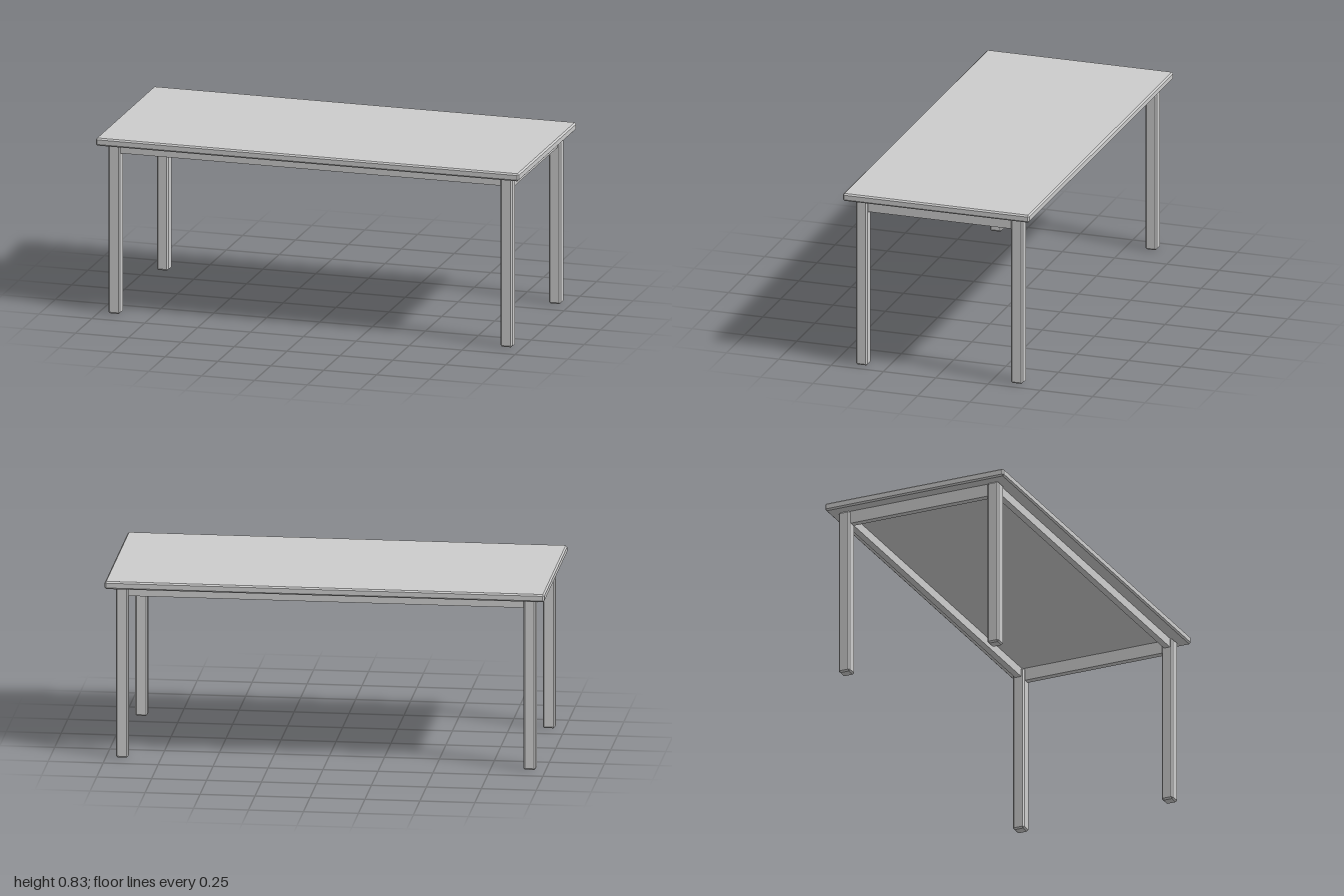
import * as THREE from 'three';
import { ConvexGeometry } from 'three/addons/geometries/ConvexGeometry.js';

// Box with every edge and corner chamfered by c
function chamferBox(w, h, d, c) {
  const half = [w / 2, h / 2, d / 2];
  const points = [];
  for (const sx of [-1, 1]) for (const sy of [-1, 1]) for (const sz of [-1, 1]) {
    for (let axis = 0; axis < 3; axis++) {
      const p = half.map((v, i) => (i === axis ? v : v - c));
      points.push(new THREE.Vector3(p[0] * sx, p[1] * sy, p[2] * sz));
    }
  }
  return new ConvexGeometry(points);
}

export function createModel() {
  const table = new THREE.Group();
  table.name = 'table';
  const grey = new THREE.MeshStandardMaterial({ color: 0xcccccc });
  grey.name = 'light grey';

  function add(name, geometry, x, y, z) {
    const mesh = new THREE.Mesh(geometry, grey);
    mesh.name = name;
    mesh.position.set(x, y, z);
    table.add(mesh);
  }

  const topBottom = 0.797, topHeight = 0.036;
  const legX = 0.927, legZ = 0.371, legSize = 0.056;
  const railThickness = 0.03;

  // Table top
  add('tableTop', chamferBox(2, topHeight, 0.892, 0.007), 0, topBottom + topHeight / 2, 0);

  // Four legs
  const leg = chamferBox(legSize, topBottom, legSize, 0.007);
  for (const [side, sx] of [['Left', 1], ['Right', -1]]) {
    add('front' + side + 'Leg', leg, sx * legX, topBottom / 2, legZ);
    add('back' + side + 'Leg', leg, sx * legX, topBottom / 2, -legZ);
  }

  // Shallow long rails under the front and back edges
  const longRail = new THREE.BoxGeometry(2 * legX - legSize + 0.01, 0.043, railThickness);
  add('frontRail', longRail, 0, topBottom - 0.0215, legZ);
  add('backRail', longRail, 0, topBottom - 0.0215, -legZ);

  // Deeper short rails at the two ends
  const endRail = new THREE.BoxGeometry(railThickness, 0.059, 2 * legZ - legSize + 0.01);
  add('leftRail', endRail, legX, topBottom - 0.0295, 0);
  add('rightRail', endRail, -legX, topBottom - 0.0295, 0);

  return table;
}
